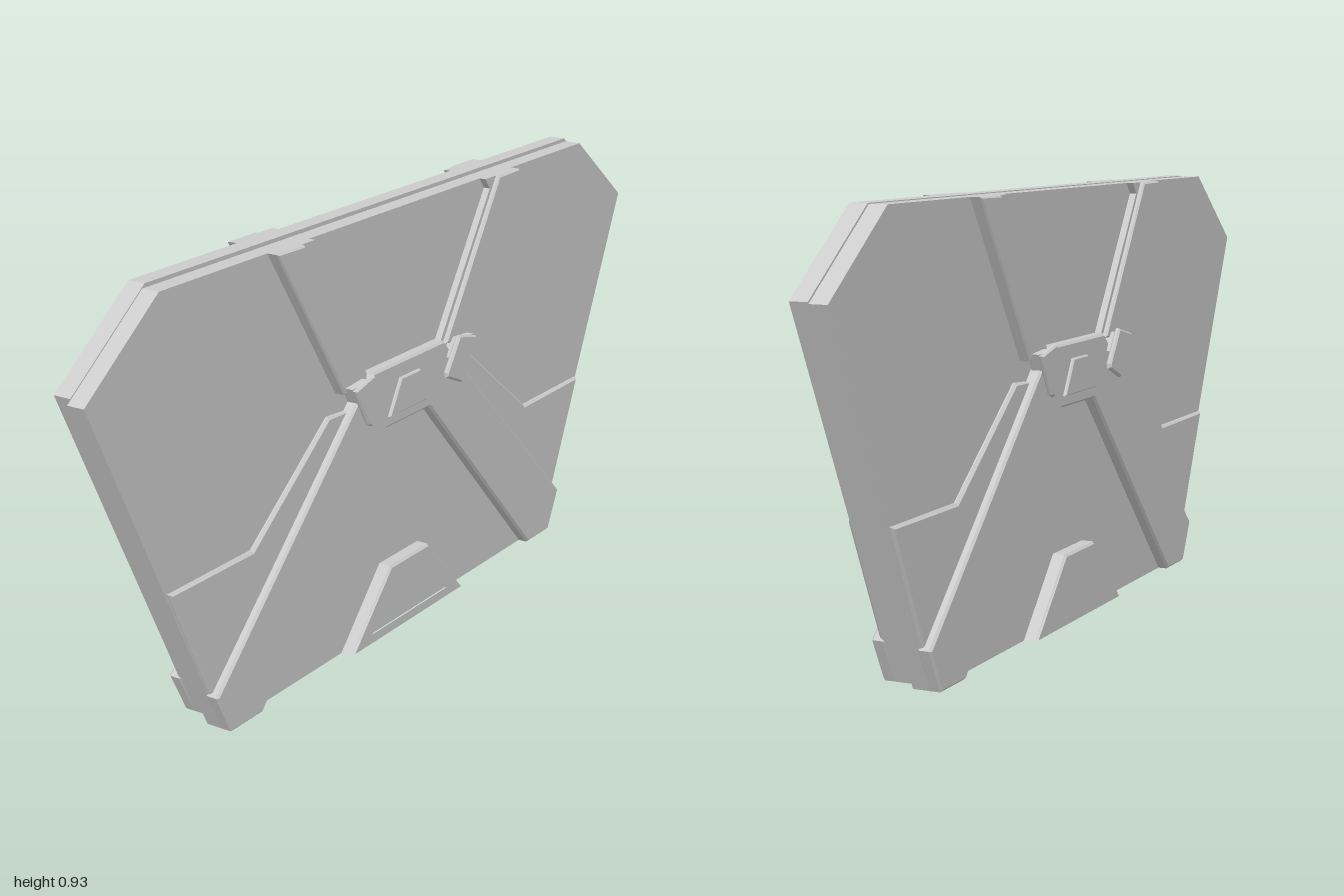
import * as THREE from 'three';

const material = new THREE.MeshStandardMaterial({ color: 0xcccccc, flatShading: true });

// Closed outline symmetric about z = 0, from the points of its +z half
const mirrored = half => [...half, ...half.map(([z, y]) => [-z, y]).reverse()];
const flip = pts => pts.map(([z, y]) => [-z, y]);
const toVectors = pts => pts.map(([z, y]) => new THREE.Vector2(-z, y));

// Plate with a (z, y) outline, running from x0 out to x1, chamfered on its edges
function plate(name, pts, x0, x1, bevel = 0, hole = null) {
  const shape = new THREE.Shape(toVectors(pts));
  if (hole) shape.holes.push(new THREE.Path(toVectors(hole)));
  const geometry = new THREE.ExtrudeGeometry(shape, {
    depth: x1 - x0 - 2 * bevel,
    bevelEnabled: bevel > 0,
    bevelThickness: bevel,
    bevelSize: bevel,
    bevelOffset: -bevel,
    bevelSegments: 1
  });
  geometry.rotateY(Math.PI / 2);
  geometry.translate(x0 + bevel, 0, 0);
  const mesh = new THREE.Mesh(geometry, material);
  mesh.name = name;
  return mesh;
}

function createDoor(name) {
  const door = new THREE.Group();
  door.name = name;
  const face = 0.019;

  // Main slab with clipped upper corners
  door.add(plate('slab', mirrored([[0.63, 0], [0.985, 0.765], [0.775, 0.925]]), -face, face));

  // Raised arch framing the central recess
  const arch = [[0.63, 0], [0.675, 0.09], [0.14, 0.605]];
  const recess = [[0.085, 0.47], [0.53, 0]];
  door.add(plate('archFrame', mirrored([...arch, ...[]]).length
    ? [...arch, ...flip(arch).reverse(), ...flip(recess).reverse(), ...recess]
    : arch, face - 0.006, 0.044, 0.005));

  // Lower hatch: rim and sunken panel
  const hatchHole = mirrored([[0.155, 0.02], [0.06, 0.13]]);
  door.add(plate('hatchRim', mirrored([[0.22, 0], [0.075, 0.155]]), face - 0.006, 0.05, 0.005, hatchHole));
  door.add(plate('hatchPanel', hatchHole, face - 0.005, 0.042));

  // Small emblem-free lock plate above the recess
  const lockHole = mirrored([[0.055, 0.507], [0.025, 0.558]]);
  door.add(plate('lockRim', mirrored([[0.08, 0.495], [0.037, 0.57]]), 0.038, 0.051, 0.003, lockHole));

  // Parts repeated on both halves of the door
  const wing = [[0.785, 0.345], [0.53, 0.345], [0.27, 0.545], [0.2, 0.54], [0.67, 0.09]];
  const strap = [[0.455, 0.925], [0.365, 0.925], [0.15, 0.595], [0.235, 0.585]];
  const seam = [[0.378, 0.925], [0.355, 0.925], [0.14, 0.6], [0.163, 0.595]];
  const wedge = [[0.375, 0.925], [0.32, 0.925], [0.352, 0.885]];
  const stem = [[0.235, 0.6], [0.215, 0.565], [0.15, 0.565], [0.175, 0.605]];
  const clip = [[0.235, 0.597], [0.187, 0.512], [0.175, 0.506], [0.115, 0.532], [0.115, 0.542], [0.165, 0.615]];
  for (const side of [1, -1]) {
    const at = pts => (side > 0 ? pts : flip(pts));
    const label = side > 0 ? 'Front' : 'Rear';
    door.add(plate('wingPanel' + label, at(wing), face - 0.006, 0.028, 0.006));
    door.add(plate('strap' + label, at(strap), face - 0.005, 0.044, 0.004));
    door.add(plate('strapSeam' + label, at(seam), face - 0.005, 0.034));
    door.add(plate('strapWedge' + label, at(wedge), face - 0.005, 0.034));
    door.add(plate('clipStem' + label, at(stem), 0.035, 0.062));
    door.add(plate('clip' + label, at(clip), 0.057, 0.07, 0.004));
  }

  // Slight skew away from the facing door
  door.position.set(0.0285, 0, 0.015);
  door.rotation.y = -0.0076;
  return door;
}

export function createModel() {
  const model = new THREE.Group();
  model.name = 'doublePanel';
  model.add(createDoor('leftDoor'));

  // Opposite door is the same one turned half way round
  const opposite = new THREE.Group();
  opposite.name = 'oppositeSide';
  opposite.add(createDoor('rightDoor'));
  opposite.rotation.y = Math.PI;
  model.add(opposite);
  return model;
}
